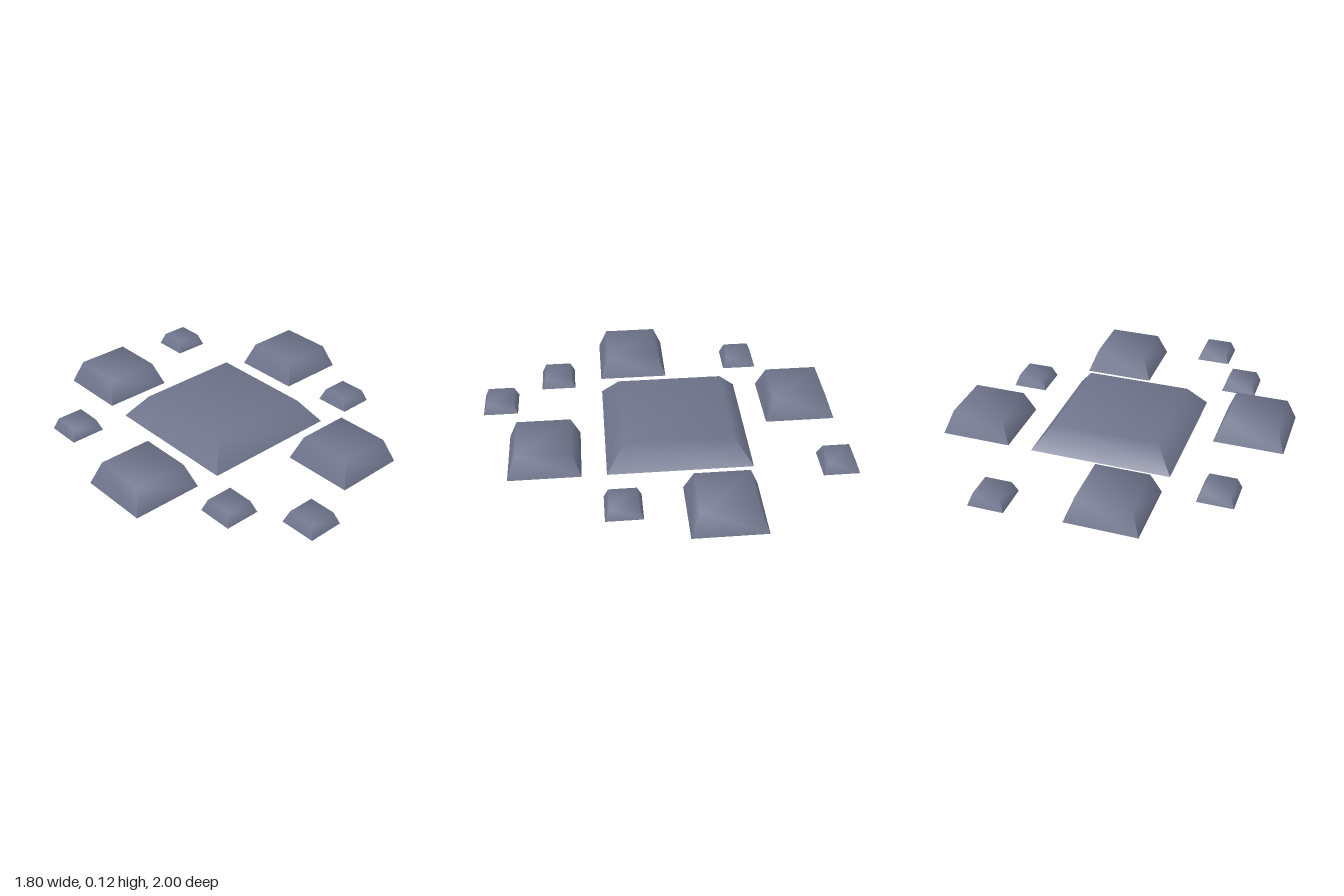
import * as THREE from 'three';

// Four-sided stone with a shrunken top: rim shared smoothly, foot corners kept sharp.
function stoneGeometry(radius, height) {
  const ring = (r, y) => [[r, y, 0], [0, y, r], [-r, y, 0], [0, y, -r]];
  const top = ring(radius * 0.75, height);
  const foot = ring(radius, 0);
  const points = [...top];
  const index = [0, 2, 1, 0, 3, 2]; // top
  for (let i = 0; i < 4; i++) {
    const j = (i + 1) % 4;
    const a = points.length;
    points.push(foot[i], foot[j]);
    index.push(a, i, j, a, j, a + 1); // sloping side
  }
  const b = points.length;
  points.push(...foot);
  index.push(b, b + 1, b + 2, b, b + 2, b + 3); // underside
  const geometry = new THREE.BufferGeometry();
  geometry.setAttribute('position', new THREE.Float32BufferAttribute(points.flat(), 3));
  geometry.setIndex(index);
  geometry.computeVertexNormals();
  return geometry;
}

export function createModel() {
  const group = new THREE.Group();
  group.name = 'steppingStones';
  const stone = new THREE.MeshStandardMaterial({ color: 0x6f748c });
  stone.name = 'slateStone';

  // Each size of stone with its x, z places
  const sizes = [
    { name: 'largeStone', radius: 0.535, height: 0.125, places: [[0, -0.015]] },
    {
      name: 'mediumStone', radius: 0.266, height: 0.125,
      places: [[0.362, -0.64], [-0.623, -0.375], [0.628, 0.34], [-0.355, 0.61]],
    },
    {
      name: 'smallStone', radius: 0.133, height: 0.0625,
      places: [[-0.3, -0.867], [0.667, -0.248], [-0.768, 0.132], [0.073, 0.796], [0.458, 0.862]],
    },
  ];
  for (const { name, radius, height, places } of sizes) {
    const geometry = stoneGeometry(radius, height);
    places.forEach(([x, z], i) => {
      const mesh = new THREE.Mesh(geometry, stone);
      mesh.name = places.length > 1 ? name + (i + 1) : name;
      mesh.position.set(x, 0, z);
      group.add(mesh);
    });
  }
  return group;
}
